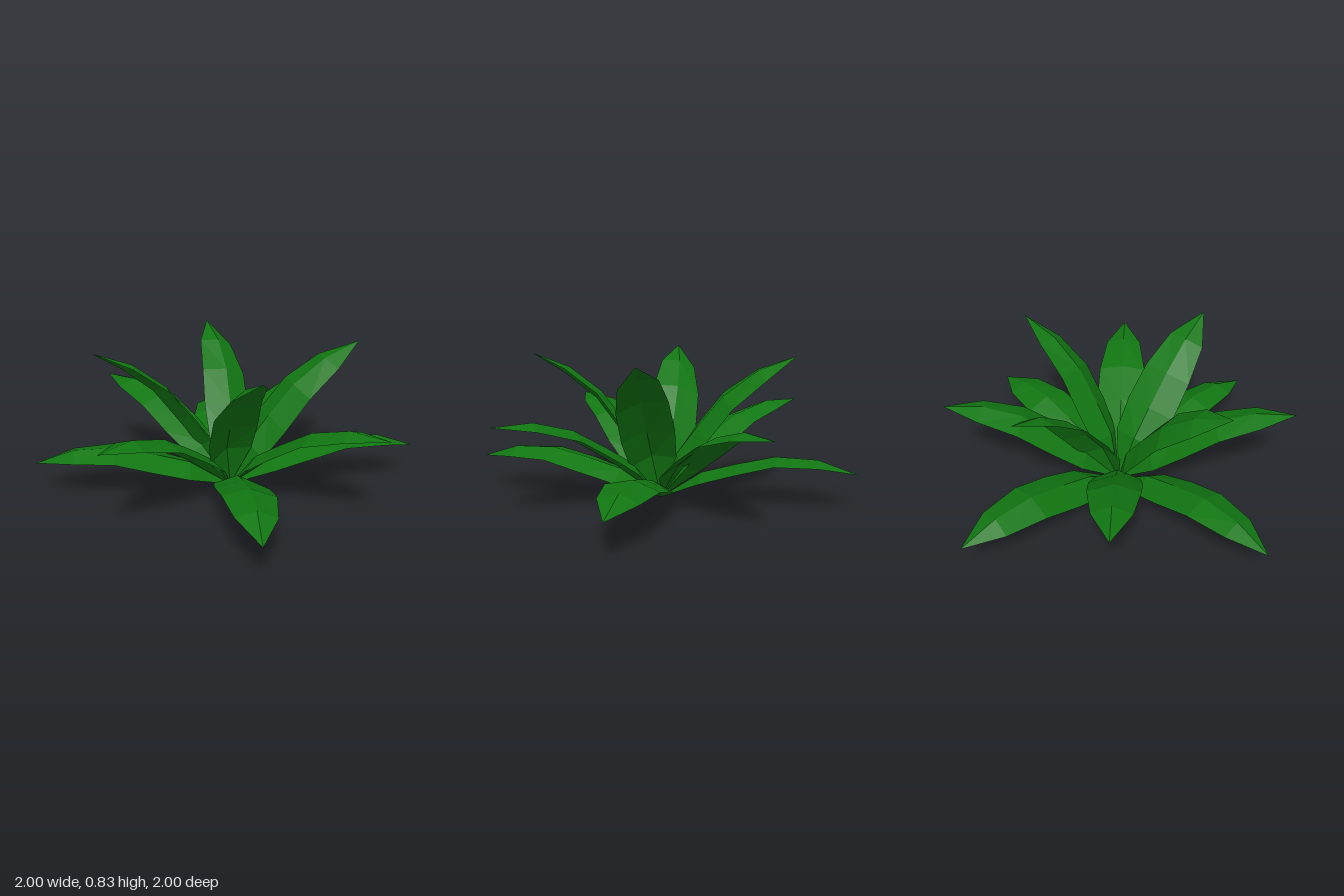
import * as THREE from 'three';

const deg = Math.PI / 180;

// Leaf cross-sections: distance along, height of the ridge, half width, drop of the edges
const SECTIONS = [
  [0, 0, 0, 0],
  [0.26, 0.116, 0.132, 0.05],
  [0.461, 0.138, 0.149, 0.045],
  [0.687, 0.153, 0.141, 0.04],
  [0.916, 0.108, 0.105, 0.037],
  [1.119, 0, 0, 0],
];

// Arched leaf along +x, folded down on both sides of its ridge
function leafGeometry() {
  const positions = [];
  const index = [];
  for (const [along, height, half, drop] of SECTIONS) {
    positions.push(along, height - drop, -half, along, height, 0, along, height - drop, half);
  }
  const last = SECTIONS.length - 2;
  for (let row = 0; row <= last; row++) {
    for (let side = 0; side < 2; side++) {
      const a = row * 3 + side, b = a + 1, c = a + 3, d = a + 4;
      if (row > 0) index.push(a, b, c);
      if (row === 0) index.push(a, d, c);
      else if (row < last) index.push(b, d, c);
    }
  }
  const indexed = new THREE.BufferGeometry();
  indexed.setAttribute('position', new THREE.Float32BufferAttribute(positions, 3));
  indexed.setIndex(index);
  const geometry = indexed.toNonIndexed();
  geometry.computeVertexNormals();
  return geometry;
}

export function createModel() {
  const model = new THREE.Group();
  model.name = 'leafyPlant';

  const leafGreen = new THREE.MeshStandardMaterial({
    color: 0x117612, flatShading: true, side: THREE.DoubleSide,
  });
  leafGreen.name = 'leafGreen';
  const geometry = leafGeometry();

  // Three whorls of four leaves: heading, pitch and roll in degrees
  const whorls = [
    { name: 'lowerLeaf', heading: 44.3, pitch: 9.9, roll: -5 },
    { name: 'middleLeaf', heading: 0, pitch: 26.7, roll: 0 },
    { name: 'upperLeaf', heading: 40.2, pitch: 47.7, roll: 19 },
  ];
  for (const { name, heading, pitch, roll } of whorls) {
    const whorl = new THREE.Group();
    whorl.name = name + 'Whorl';
    for (let i = 0; i < 4; i++) {
      const leaf = new THREE.Mesh(geometry, leafGreen);
      leaf.name = name + (i + 1);
      leaf.rotation.set(roll * deg, -(heading + i * 90) * deg, pitch * deg, 'YZX');
      whorl.add(leaf);
    }
    model.add(whorl);
  }
  model.position.y = 0.003;
  return model;
}
